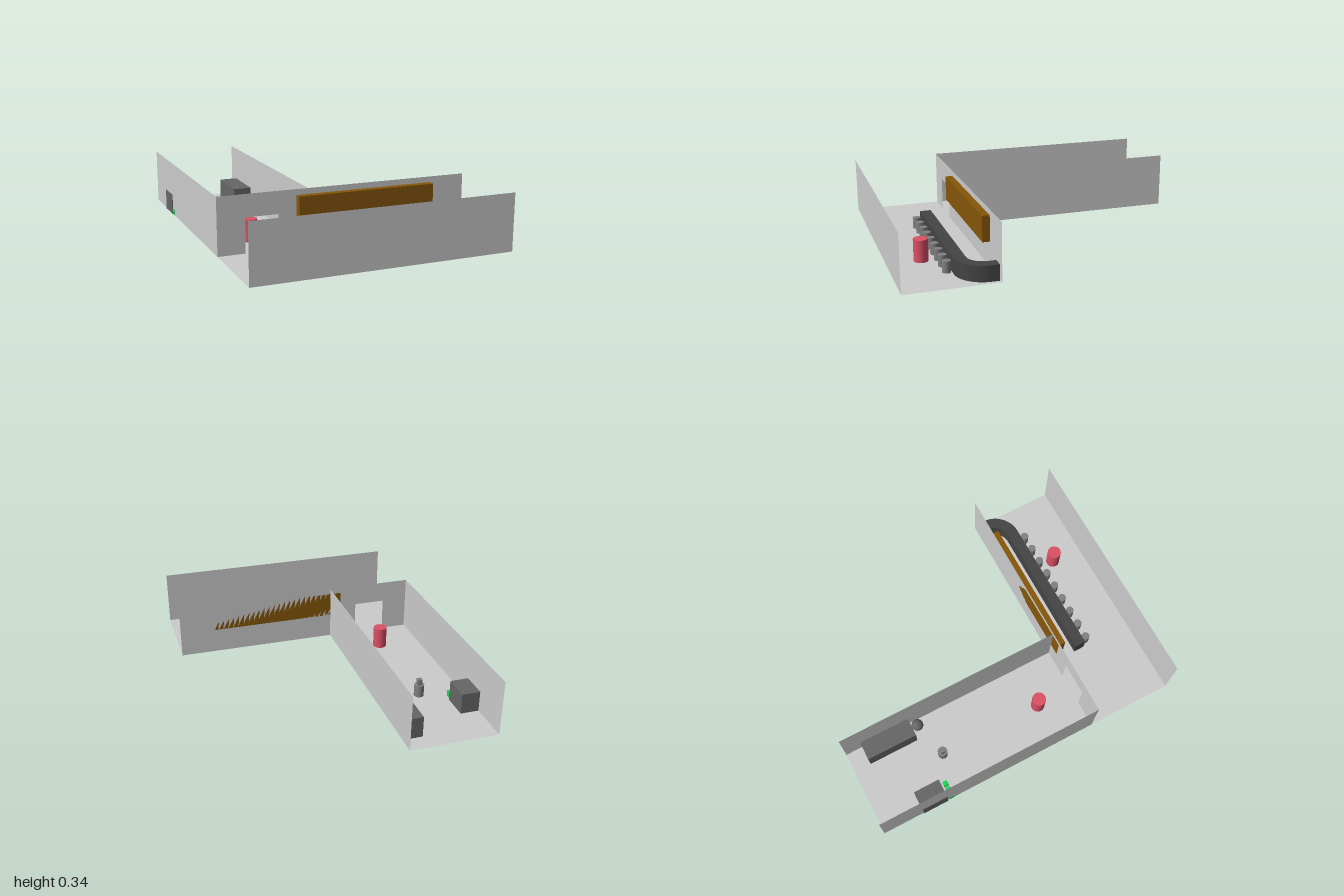
import * as THREE from 'three';
import { toCreasedNormals } from 'three/addons/utils/BufferGeometryUtils.js';

const H = 0.345;              // wall height
const L = -0.785, R = 0.785;  // outer sides
const HALL = -0.24;           // inner side of the corridor
const MID = 0.45;             // dividing wall depth

const mat = (color = 0xcccccc, side = THREE.FrontSide) => new THREE.MeshStandardMaterial({ color, side });
const shell = mat(0xcccccc, THREE.DoubleSide);
const dark = mat(0x666666), beltMat = mat(0x444444), grey = mat(0x808080);
const red = mat(0xdc5064), green = mat(0x10dc50), brown = mat(0x855608);

const outline = (pts) => new THREE.Shape(pts.map(([x, y]) => new THREE.Vector2(x, y)));

export function createModel() {
  const model = new THREE.Group();

  const add = (name, geometry, material, x = 0, y = 0, z = 0) => {
    const mesh = new THREE.Mesh(geometry, material);
    mesh.name = name;
    mesh.position.set(x, y, z);
    model.add(mesh);
    return mesh;
  };
  // Box given by its ranges along each axis
  const block = (name, material, x0, x1, y0, y1, z0, z1) =>
    add(name, new THREE.BoxGeometry(x1 - x0, y1 - y0, z1 - z0), material,
      (x0 + x1) / 2, (y0 + y1) / 2, (z0 + z1) / 2);
  // Upright cylinder standing on the floor
  const post = (name, material, r, h, x, z) =>
    add(name, new THREE.CylinderGeometry(r, r, h, 32), material, x, h / 2, z);

  // L-shaped floor
  const floor = outline([[L, -1], [R, -1], [R, -MID], [HALL, -MID], [HALL, 1], [L, 1]]);
  add('floor', new THREE.ShapeGeometry(floor).rotateX(-Math.PI / 2), shell);

  // Front wall and dividing wall with its doorway
  add('frontWall', new THREE.PlaneGeometry(R - L, H), shell, 0, H / 2, 1);
  const divider = outline([[L, 0], [-0.62, 0], [-0.62, 0.21], [-0.42, 0.21], [-0.42, 0], [R, 0], [R, H], [L, H]]);
  add('dividingWall', new THREE.ShapeGeometry(divider), shell, 0, 0, MID);

  // Corridor side walls
  for (const [name, x] of [['corridorOuterWall', L], ['corridorInnerWall', HALL]]) {
    add(name, new THREE.PlaneGeometry(MID + 1, H), shell, x, H / 2, (MID - 1) / 2).rotation.y = Math.PI / 2;
  }

  // Wall shelf
  block('wallShelf', brown, -0.312, 0.555, 0.155, 0.31, MID, 0.495);

  // Counter with a rounded return to the wall
  const counter = new THREE.Shape();
  counter.moveTo(-0.31, -0.67);
  counter.lineTo(0.59, -0.67);
  counter.absarc(0.59, -0.5, 0.17, -Math.PI / 2, 0, false);
  counter.lineTo(0.76, -0.455);
  counter.lineTo(0.69, -0.455);
  counter.absarc(0.59, -0.5, 0.1, 0, -Math.PI / 2, true);
  counter.lineTo(-0.31, -0.6);
  const counterGeo = new THREE.ExtrudeGeometry(counter, { depth: 0.095, bevelEnabled: false, curveSegments: 20 });
  add('counter', toCreasedNormals(counterGeo.rotateX(-Math.PI / 2), 0.6), beltMat);

  // Row of stools along the counter
  for (let i = 0; i < 9; i++) post('stool', grey, 0.025, 0.07, -0.27 + i * 0.1015, 0.7);

  // Standing markers
  post('frontMarker', red, 0.043, 0.135, 0.32, 0.797);
  post('corridorMarker', red, 0.043, 0.135, -0.515, 0.212);

  // Cabinets at the back of the corridor
  block('leftCabinet', dark, -0.79, -0.67, 0, 0.13, -0.735, -0.57);
  block('rearCabinet', dark, -0.362, -0.245, 0, 0.13, -0.892, -0.73);
  block('sideCabinet', dark, -0.362, -0.245, 0, 0.13, -0.73, -0.567);

  // Small crates before the left cabinet
  for (let i = 0; i < 3; i++) {
    const x = -0.772 + i * 0.04;
    block('smallCrate', green, x - 0.0145, x + 0.0145, 0, 0.038, -0.552, -0.523);
  }

  // Ball beside the cabinets
  add('ball', new THREE.SphereGeometry(0.037, 32, 20), dark, -0.284, 0.037, -0.525);

  // Pedestal with a square block on top
  post('pedestal', grey, 0.03, 0.075, -0.516, -0.466);
  block('pedestalBlock', grey, -0.53, -0.502, 0.075, 0.112, -0.48, -0.452);

  return model;
}
